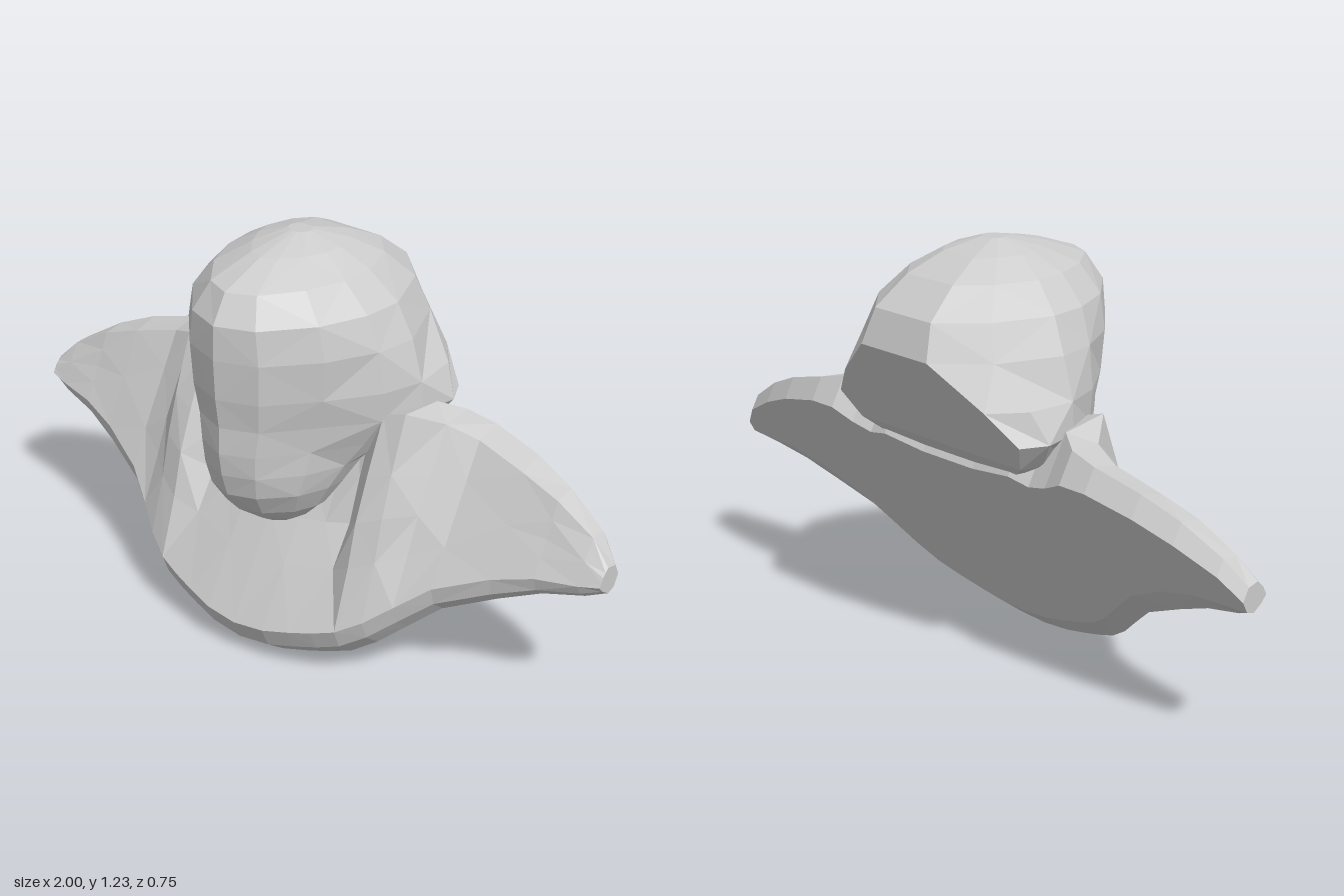
import * as THREE from 'three';

// Slanted flat back of the bust: z of the cut at a given height
const cutZ = (y) => (0.304 - y) / 1.8;
// Directions along the cut (upwards) and out of it, from the cut's lowest point
const ALONG = { y: 0.874, z: -0.486 };
const OUT = { y: 0.486, z: 0.874 };
const CUT_BASE = cutZ(0);

// Skin closed loops of [x, y, z] points; loops run counter-clockwise about the row direction
function loft(rows) {
  const n = rows[0].length;
  const pos = rows.flat(2);
  const idx = [];
  for (let i = 0; i < rows.length - 1; i++) {
    for (let j = 0; j < n; j++) {
      const k = (j + 1) % n;
      const a = i * n + j, b = i * n + k, c = a + n, d = b + n;
      // alternate the diagonals for an irregular faceted look
      if ((i + j) % 2) idx.push(a, b, d, a, d, c);
      else idx.push(a, b, c, b, d, c);
    }
  }
  // close both ends with a fan around the loop's middle
  [[rows[0], 0, true], [rows[rows.length - 1], (rows.length - 1) * n, false]].forEach(([row, start, flip]) => {
    const mid = pos.length / 3;
    for (let c = 0; c < 3; c++) pos.push(row.reduce((sum, p) => sum + p[c], 0) / n);
    for (let j = 0; j < n; j++) {
      const a = start + j, b = start + (j + 1) % n;
      if (flip) idx.push(mid, b, a);
      else idx.push(mid, a, b);
    }
  });
  const geo = new THREE.BufferGeometry();
  geo.setAttribute('position', new THREE.Float32BufferAttribute(pos, 3));
  geo.setIndex(idx);
  geo.computeVertexNormals();
  return geo;
}

// Horizontal head section: narrow face in front, wide skull, flat back
function headLoop([y, zf, wf, zm, w, zb, wb]) {
  const d = zf - zm;
  const half = [
    [0.5 * wf, zf - 0.1 * d],
    [wf, zf - 0.4 * d],
    [0.5 * (wf + w) + 0.08 * w, zf - 0.72 * d],
    [w, zm],
    [0.5 * (w + wb) + 0.08 * w, zm + 0.6 * (zb - zm)],
    [wb, zb],
  ].map(([x, z]) => [x, y, Math.max(z, cutZ(y))]);
  const mirrored = half.map(([x, yy, z]) => [-x, yy, z]).reverse();
  return [[0, y, zf], ...half, [0, y, Math.max(zb, cutZ(y))], ...mirrored];
}

// Section through the shoulders at x, laid out on the slanted cut
function shoulderLoop([x, yLow, yTop, hLow, hMid, hTop]) {
  const s0 = (yLow - 0.12 * hLow) / ALONG.y;
  const s1 = (yTop - 0.3 * hTop) / ALONG.y;
  const len = s1 - s0;
  const lip = Math.min(0.1, len * 0.25);
  const at = (t) => s0 + t * len;
  const profile = [
    [s0 + lip, 0],
    [s0, 0.25 * hLow],
    [s0 + 0.1 * lip, 0.7 * hLow],
    [s0 + 0.5 * lip, hLow],
    [at(0.32), 0.5 * (hLow + hMid)],
    [at(0.5), hMid],
    [at(0.68), 0.5 * (hMid + hTop)],
    [s1 - 0.55 * lip, hTop],
    [s1, 0.5 * hTop],
    [s1 - 0.3 * hTop, 0],
  ];
  return profile
    .map(([s, h]) => [x, s * ALONG.y + h * OUT.y, CUT_BASE + s * ALONG.z + h * OUT.z])
    .reverse();
}

export function createModel() {
  const group = new THREE.Group();
  group.name = 'bust';
  const stone = new THREE.MeshStandardMaterial({ color: 0xcccccc, flatShading: true });
  stone.name = 'light grey stone';

  const add = (name, geometry) => {
    const mesh = new THREE.Mesh(geometry, stone);
    mesh.name = name;
    group.add(mesh);
  };

  // Head, chin to crown: y, front z, face half-width, widest z, half-width, back z, back half-width
  const headRows = [
    [0.395, 0.18, 0.06, 0.1, 0.07, 0.03, 0.05],
    [0.425, 0.22, 0.1, 0.09, 0.11, 0.0, 0.08],
    [0.47, 0.28, 0.13, 0.07, 0.16, -0.04, 0.12],
    [0.54, 0.33, 0.16, 0.05, 0.2, -0.08, 0.16],
    [0.61, 0.352, 0.18, 0.0, 0.24, -0.14, 0.22],
    [0.68, 0.362, 0.19, -0.04, 0.31, cutZ(0.68), 0.32],
    [0.76, 0.36, 0.21, -0.06, 0.375, cutZ(0.76), 0.36],
    [0.85, 0.372, 0.23, -0.06, 0.37, cutZ(0.85), 0.28],
    [0.97, 0.378, 0.24, -0.06, 0.335, -0.37, 0.13],
    [1.07, 0.375, 0.22, -0.05, 0.29, -0.335, 0.11],
    [1.15, 0.325, 0.16, -0.03, 0.21, -0.235, 0.09],
    [1.2, 0.18, 0.09, -0.01, 0.125, -0.13, 0.06],
    [1.23, 0.04, 0.025, 0.01, 0.035, -0.02, 0.02],
  ];
  add('head', loft(headRows.map(headLoop)));

  // Shoulders, middle to tip: x, lower edge, upper edge, thickness low / middle / high
  const half = [
    [0.1, 0.01, 0.72, 0.18, 0.17, 0.18],
    [0.18, 0.03, 0.73, 0.175, 0.16, 0.18],
    [0.25, 0.05, 0.75, 0.17, 0.15, 0.2],
    [0.32, 0.075, 0.775, 0.165, 0.235, 0.27],
    [0.39, 0.12, 0.795, 0.155, 0.225, 0.275],
    [0.46, 0.18, 0.768, 0.14, 0.165, 0.17],
    [0.55, 0.255, 0.745, 0.13, 0.13, 0.13],
    [0.7, 0.325, 0.705, 0.11, 0.115, 0.12],
    [0.82, 0.375, 0.655, 0.1, 0.1, 0.11],
    [0.94, 0.405, 0.58, 0.085, 0.09, 0.085],
    [1, 0.43, 0.51, 0.08, 0.08, 0.07],
  ];
  const stations = [
    ...half.map(([x, ...rest]) => [-x, ...rest]).reverse(),
    [0, 0, 0.72, 0.18, 0.175, 0.18],
    ...half,
  ];
  add('shoulders', loft(stations.map(shoulderLoop)));

  return group;
}
